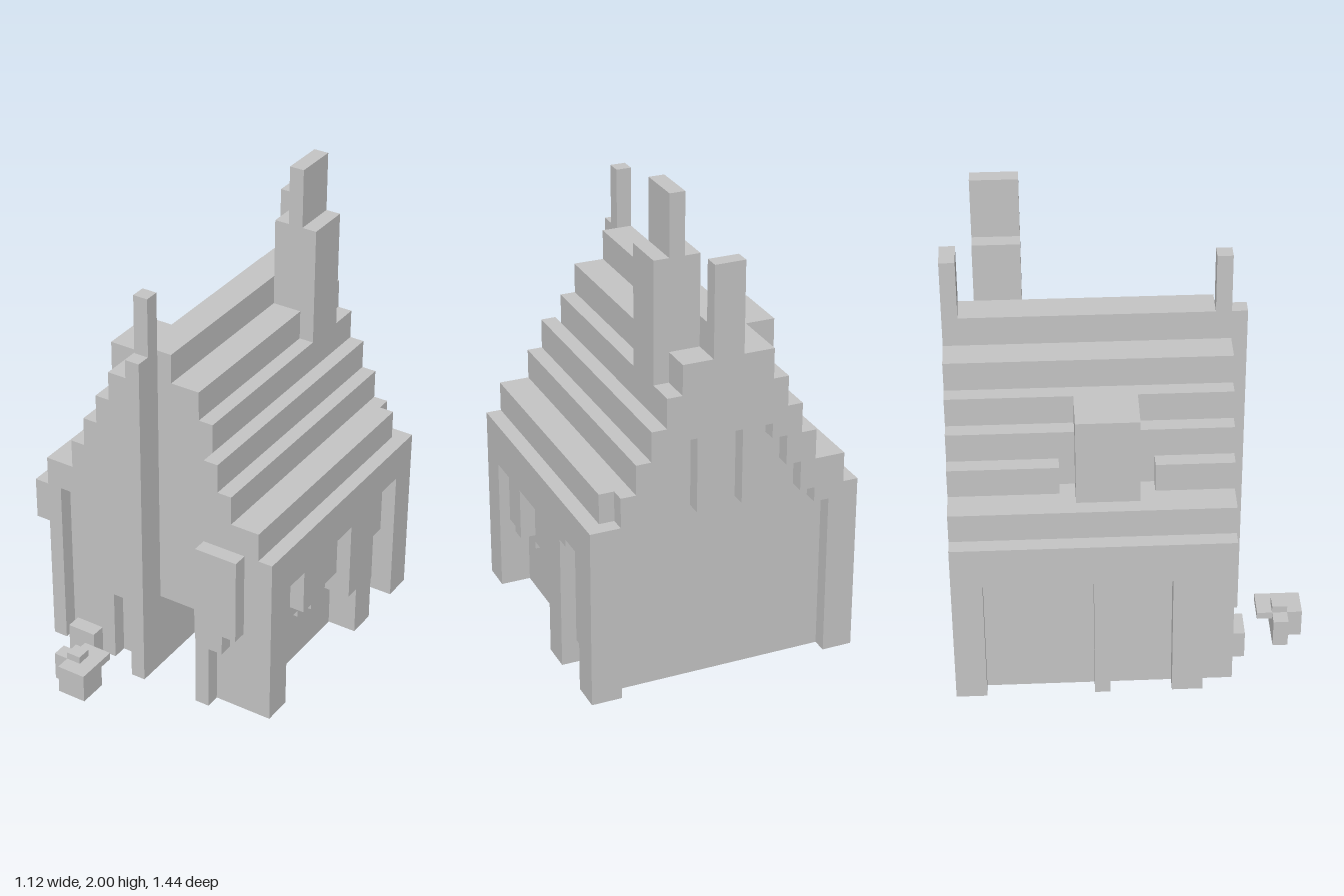
import * as THREE from 'three';

const U = 1 / 16; // one block

export function createModel() {
  const model = new THREE.Group();
  model.name = 'steppedHouse';
  const stone = new THREE.MeshStandardMaterial({ color: 0xc4c4c4 });
  stone.name = 'pale grey';

  // box from its limits, in blocks
  const block = (name, x0, x1, y0, y1, z0, z1) => {
    const mesh = new THREE.Mesh(new THREE.BoxGeometry((x1 - x0) * U, (y1 - y0) * U, (z1 - z0) * U), stone);
    mesh.position.set((x0 + x1) * U / 2, (y0 + y1) * U / 2, (z0 + z1) * U / 2);
    mesh.name = name;
    model.add(mesh);
  };

  // core walls around the open porch
  block('mainBody', -8, 7, 0, 12, -10.5, 1.5);
  block('frontRoom', -8, 0, 0, 12, 1.5, 5.5);
  block('porchLintel', 0, 4, 5.55, 12, 1.5, 5.5);
  block('porchSide', 4, 7, 0, 12, 1.5, 5.5);

  // front facing: [x0, x1, bottom], leaving the narrow slot and low openings
  for (const [x0, x1, y] of [[-8, -7, 0], [-6, -3, 0], [-3, -2, 5.1], [-2, -1, 1.6], [4, 7, 0]])
    block('frontFacing', x0, x1, y, 12, 5.5, 6.5);
  block('slotHead', -7, -6, 12, 14, 5.5, 6.5);

  // corner posts
  block('cornerPost', 7, 9, 0, 12, 4.5, 6.5);
  for (const s of [-9, 7]) block('cornerPost', s, s + 2, 0, 12, -11.5, -9.5);

  // left (+x) wall, inner then outer layer: [z0, z1, bottom]
  for (const [z0, z1, y] of [[-3.5, 4.5, 5.1], [-4.5, -3.5, 3.5], [-6.5, -4.5, 0], [-8.5, -6.5, 1.6], [-9.5, -8.5, 5.1]])
    block('innerWallLayer', 7, 8, y, 12, z0, z1);
  for (const z of [1, -1.5]) block('wallTooth', 7, 8, 4.6, 5.1, z - 0.5, z + 0.5);
  for (const [z0, z1, y] of [[2.5, 4.5, 9.1], [1.5, 2.5, 6], [0.5, 1.5, 5.6], [-3.5, 0.5, 9.1],
    [-4.5, -3.5, 3.5], [-6.5, -4.5, 0], [-7.5, -6.5, 9.1], [-9.5, -7.5, 9.6]])
    block('outerWallLayer', 8, 9, y, 12, z0, z1);

  // right (-x) eave and buttresses
  block('eave', -9, -8, 9.1, 12, -11.5, 6.5);
  for (const [z0, z1, y] of [[-6.5, -5.5, 5.6], [-2.5, -1.5, 0], [2.5, 4.5, 0]])
    block('buttress', -9, -8, y, 9.1, z0, z1);

  // stepped roof: [half width, bottom, top]
  const steps = [[8, 12, 14], [6, 14, 16], [5, 16, 18], [4, 18, 20], [3, 20, 22], [1, 22, 24]];
  for (const [w, y0, y1] of steps) {
    const left = w === 6 ? -5 : -w;
    block('roofStep', left, w, y0, y1, -10.5, 5.5);
    if (w > 1) block('frontGable', -w, -1, y0, y1, 5.5, 6.5);
    if (w > 4) block('frontGable', 4, w, y0, y1, 5.5, 6.5);
  }
  block('roofStepRight', -6, -5, 14, 16, -10.5, -4.5);
  block('roofStepRight', -6, -5, 14, 16, 1.5, 5.5);

  // back gable edge with hangers: [inner, outer, bottom, top]
  const edge = [[0, 1, 17, 24], [1, 2, 12, 22], [2, 3, 17, 22], [3, 4, 16, 20],
    [4, 5, 14, 18], [5, 6, 12, 16], [6, 7, 11, 14]];
  for (const [a, b, y0, y1] of edge) {
    block('backGableEdge', a, b, y0, y1, -11.5, -10.5);
    block('backGableEdge', -b, -a, y0, y1, -11.5, -10.5);
  }
  block('backGableEdge', -8, -7, 12, 14, -11.5, -10.5);

  // dormer
  block('dormerBody', -7, -4, 14, 18, -3.5, 0.5);
  block('dormerRoof', -7, -4, 18, 20, -3.5, 0.5);

  // chimney and finials
  block('chimney', 1, 4, 18, 28, -9.5, -6.5);
  block('chimneyTop', 2, 3, 28, 32, -9.5, -6.5);
  block('backFinial', -1, 1, 24, 28, -11.5, -10.5);
  block('frontFinial', -1, 0, 0, 28, 5.5, 6.5);
  block('frontPost', -1, 0, 0, 24, 6.5, 7.5);

  // hanging front pillar and doorstep
  block('frontPillar', 4, 5, 0, 12, 6.5, 7.5);
  block('frontPillar', 5, 6, 4.6, 12, 6.5, 7.5);
  block('frontPillar', 6, 7, 6, 12, 6.5, 7.5);
  block('doorstep', -6, -4, 0, 2, 6.5, 7.5);

  // small rock in the yard
  block('rock', -4, -2, 0, 2, 9.5, 11.5);
  block('rockBack', -4, -2, 1.5, 2, 8.5, 9.5);
  block('rockSide', -5, -4, 0, 2, 9.5, 10.5);
  block('rockTop', -4, -3, 2, 2.5, 9.5, 10.5);

  return model;
}
